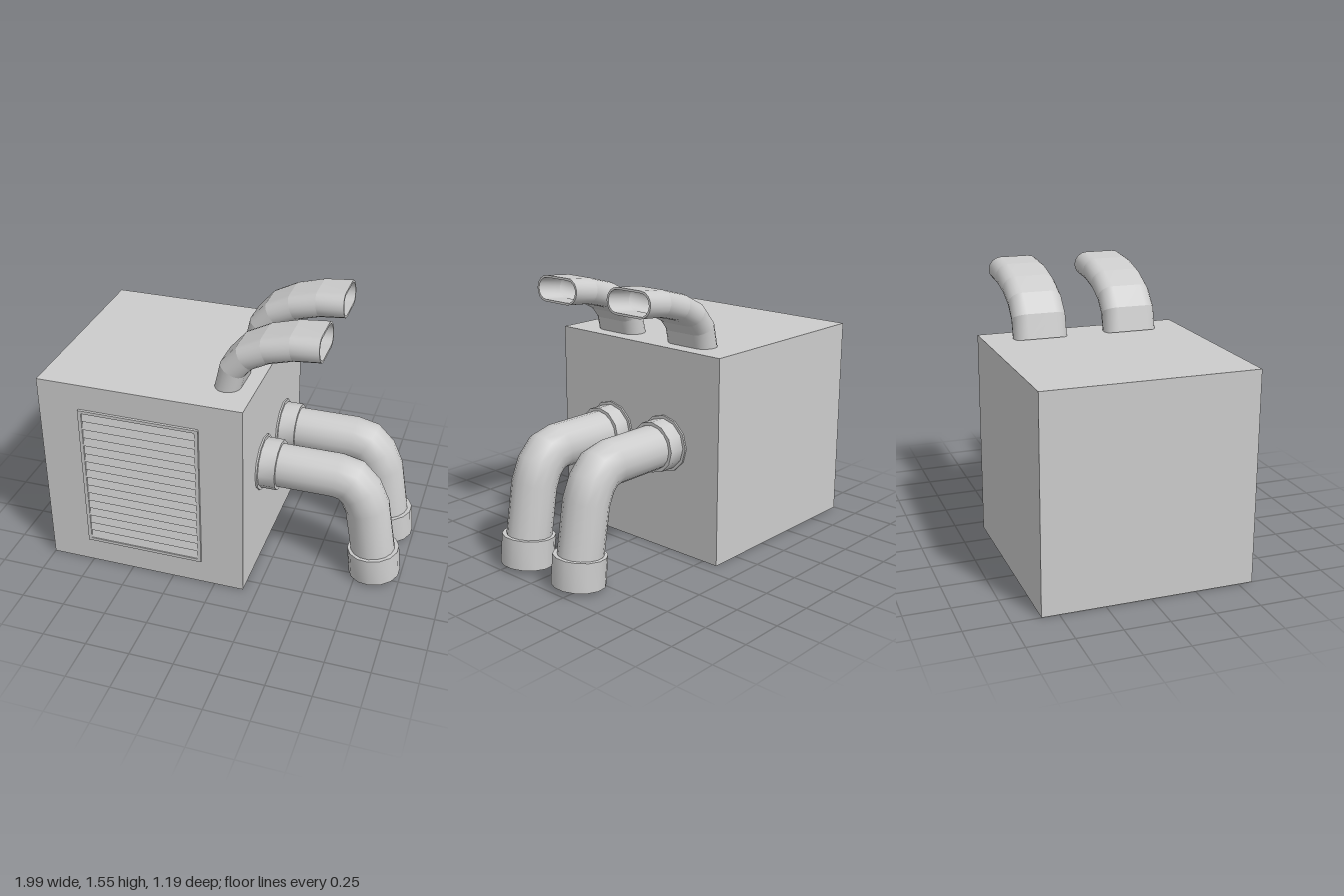
import * as THREE from 'three';
import { mergeGeometries, toCreasedNormals } from 'three/addons/utils/BufferGeometryUtils.js';

const material = new THREE.MeshStandardMaterial({ color: 0xcccccc, side: THREE.DoubleSide });

function addMesh(parent, name, geometry, x = 0, y = 0, z = 0) {
  const mesh = new THREE.Mesh(geometry, material);
  mesh.name = name;
  mesh.position.set(x, y, z);
  parent.add(mesh);
  return mesh;
}

// Closed rings of points joined into a smooth skin
function loft(rings) {
  const n = rings[0].length, index = [];
  for (let i = 0; i < rings.length - 1; i++) {
    for (let j = 0; j < n; j++) {
      const k = (j + 1) % n;
      const a = i * n + j, b = i * n + k, c = b + n, d = a + n;
      index.push(a, b, c, a, c, d);
    }
  }
  const g = new THREE.BufferGeometry().setFromPoints(rings.flat());
  g.setIndex(index);
  g.computeVertexNormals();
  return g;
}

// Section points (in-plane offset, z offset) placed along a path with mitred joints
function sweepRings(path, section) {
  const dirs = path.slice(1).map((p, i) => p.clone().sub(path[i]).normalize());
  return path.map((p, i) => {
    const before = dirs[Math.max(i - 1, 0)], after = dirs[Math.min(i, dirs.length - 1)];
    const t = before.clone().add(after).normalize();
    const miter = 1 / t.dot(after);
    return section.map(([u, v]) =>
      new THREE.Vector3(p.x - t.y * u * miter, p.y + t.x * u * miter, v));
  });
}

// Hollow tube with an open rim; faceted gives each bend a hard edge
function hollowTube(points, outer, inner, faceted) {
  const path = points.map(([x, y]) => new THREE.Vector2(x, y));
  const out = sweepRings(path, outer), inn = sweepRings(path, inner).reverse();
  const skin = (rings) => faceted
    ? mergeGeometries(rings.slice(1).map((r, i) => loft([rings[i], r])))
    : loft(rings);
  return mergeGeometries([skin(out), loft([out[out.length - 1], inn[0]]), skin(inn)]);
}

function circle(radius, sides) {
  return Array.from({ length: sides }, (_, i) => {
    const a = (i / sides) * Math.PI * 2;
    return [radius * Math.cos(a), radius * Math.sin(a)];
  });
}

// Flat oval, wide along z
function oval(halfHeight, halfWidth) {
  const pts = [], steps = 8, flat = halfWidth - halfHeight;
  for (const side of [1, -1]) {
    for (let i = 0; i <= steps; i++) {
      const a = (i / steps) * Math.PI + (side < 0 ? Math.PI : 0);
      pts.push([halfHeight * Math.cos(a), halfHeight * Math.sin(a) + side * flat]);
    }
  }
  return pts;
}

function lathe(profile, sides) {
  const g = new THREE.LatheGeometry(profile.map(([r, y]) => new THREE.Vector2(r, y)), sides);
  return toCreasedNormals(g, 0.7);
}

function makePipe(z) {
  const pipe = new THREE.Group();
  pipe.name = 'sidePipe';
  pipe.position.z = z;
  const path = [[0.17, 0.63], [0.605, 0.63], [0.68, 0.612], [0.738, 0.553], [0.782, 0.455], [0.832, 0.16]];
  addMesh(pipe, 'bentPipe', hollowTube(path, circle(0.126, 16), circle(0.112, 16), false));
  // Wall flange and collar
  const wall = lathe([[0.12, 0], [0.163, 0], [0.163, 0.01], [0.146, 0.01], [0.146, 0.105], [0.12, 0.105]], 12);
  addMesh(pipe, 'wallCollar', wall, 0.17, 0.63).rotation.z = -Math.PI / 2;
  // Open end collar
  const end = lathe([[0.112, 0.165], [0.128, 0.15], [0.128, 0], [0.148, 0], [0.148, 0.165], [0.112, 0.165]], 14);
  addMesh(pipe, 'endCollar', end, 0.848, 0.015).rotation.z = 0.1;
  return pipe;
}

function makeVent() {
  const vent = new THREE.Group();
  vent.name = 'louvreVent';
  vent.position.set(-0.42, 0.59, 0.58);
  const rect = (target, w, h) => {
    target.moveTo(-w, -h);
    target.lineTo(w, -h);
    target.lineTo(w, h);
    target.lineTo(-w, h);
    target.closePath();
    return target;
  };
  const shape = rect(new THREE.Shape(), 0.345, 0.44);
  shape.holes.push(rect(new THREE.Path(), 0.325, 0.422));
  addMesh(vent, 'ventFrame', new THREE.ExtrudeGeometry(shape, { depth: 0.015, bevelEnabled: false }));
  // Tilted slats
  const count = 16, pitch = 0.844 / count;
  for (let i = 0; i < count; i++) {
    const y = -0.422 + pitch * (i + 0.5);
    const slat = addMesh(vent, 'ventSlat', new THREE.BoxGeometry(0.65, 0.048, 0.004), 0, y, 0.005);
    slat.rotation.x = -0.25;
  }
  return vent;
}

export function createModel() {
  const model = new THREE.Group();
  model.name = 'ventilationUnit';

  addMesh(model, 'housing', new THREE.BoxGeometry(1.17, 1.18, 1.175), -0.415, 0.59, -0.0075);
  model.add(makeVent());

  // Round side pipes
  for (const z of [0.197, -0.209]) model.add(makePipe(z));

  // Flat oval ducts on the roof
  const ductPath = [[0.01, 1.17], [0.038, 1.29], [0.107, 1.37], [0.22, 1.428], [0.365, 1.468], [0.521, 1.483]];
  for (const z of [0.259, -0.275]) {
    addMesh(model, 'roofDuct', hollowTube(ductPath, oval(0.072, 0.155), oval(0.06, 0.143), true), 0, 0, z);
  }
  return model;
}
